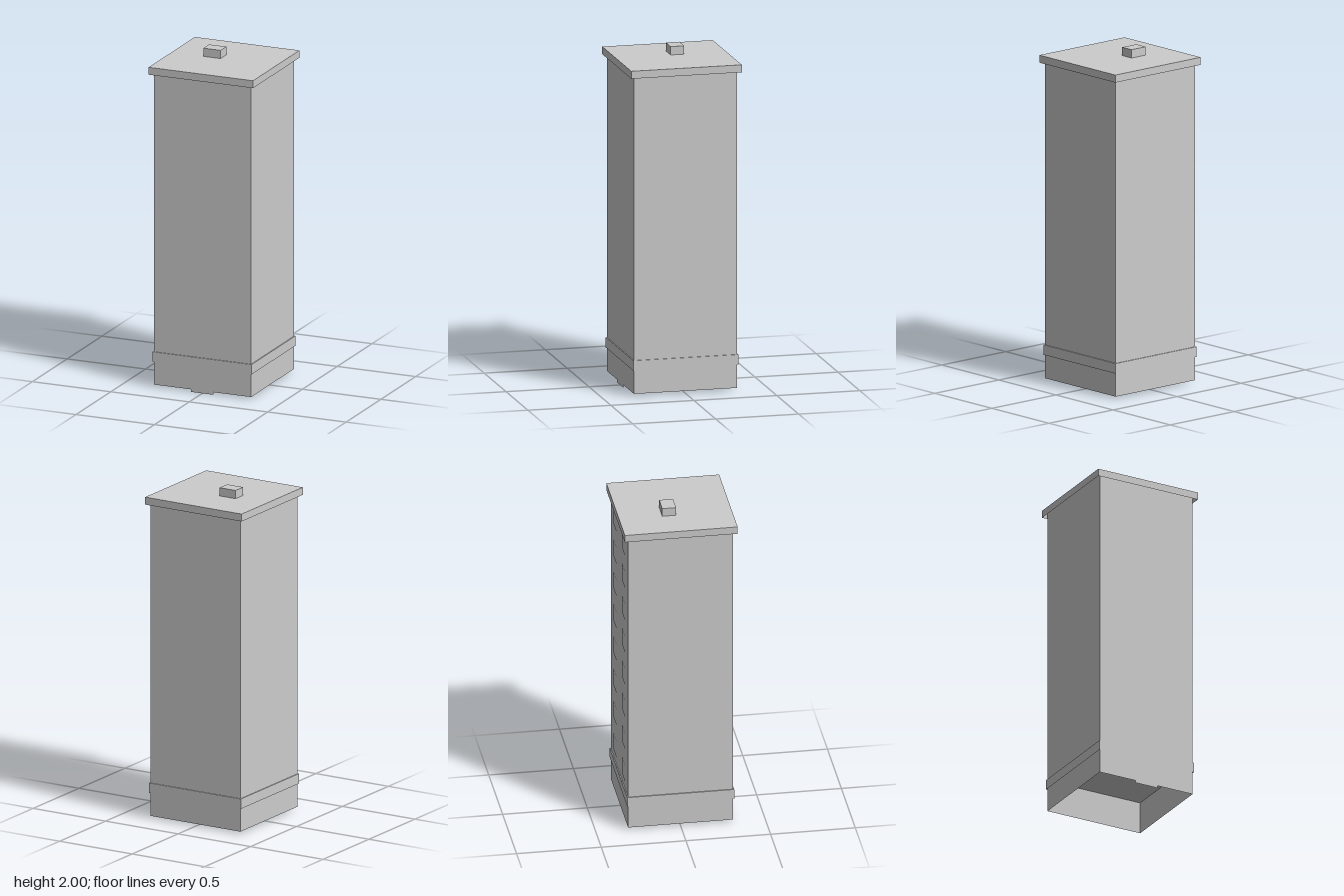
import * as THREE from 'three';

const concrete = new THREE.MeshStandardMaterial({ color: 0xcccccc, side: THREE.DoubleSide });
concrete.name = 'concrete grey';

// Box between two heights; openBottom / openTop leave out those faces
function block(name, w, d, y0, y1, { x = 0, z = 0, openBottom = false, openTop = false } = {}) {
  const geo = new THREE.BoxGeometry(w, y1 - y0, d);
  const index = Array.from(geo.index.array);
  if (openBottom) index.splice(18, 6);
  if (openTop) index.splice(12, 6);
  geo.setIndex(index);
  geo.clearGroups();
  const mesh = new THREE.Mesh(geo, concrete);
  mesh.name = name;
  mesh.position.set(x, (y0 + y1) / 2, z);
  return mesh;
}

export function createModel() {
  const tower = new THREE.Group();
  tower.name = 'towerBlock';
  const W = 0.62;

  // Ground floor, hollow from below, and the main shaft above it
  tower.add(block('groundFloor', W, W, 0.015, 0.21, { openBottom: true, openTop: true }));
  tower.add(block('shaft', W, W, 0.21, 1.94, { openTop: true }));

  // Thin ledge between ground floor and shaft
  tower.add(block('ledge', W + 0.012, W + 0.012, 0.155, 0.215, { openBottom: true }));

  // Overhanging roof, hollow underneath, with a small rooftop hut
  tower.add(block('roof', 0.666, 0.666, 1.905, 1.95, { openBottom: true }));
  tower.add(block('rooftopHut', 0.11, 0.082, 1.95, 2, { x: -0.075, z: -0.038, openBottom: true }));

  // Door panel on the front, reaching the ground
  const door = new THREE.Mesh(new THREE.PlaneGeometry(0.146, 0.13), concrete);
  door.name = 'door';
  door.position.set(0, 0.065, W / 2 + 0.002);
  tower.add(door);

  // Two columns of eight square windows on each side
  const pane = new THREE.PlaneGeometry(0.11, 0.11);
  for (let side = 0; side < 4; side++) {
    const facade = new THREE.Group();
    facade.name = 'windows' + ['Front', 'Left', 'Back', 'Right'][side];
    facade.rotation.y = side * Math.PI / 2;
    for (let row = 0; row < 8; row++) {
      for (const x of [-0.155, 0.155]) {
        const win = new THREE.Mesh(pane, concrete);
        win.name = 'window';
        win.position.set(x, 0.321 + row * 0.212, W / 2 + 0.002);
        facade.add(win);
      }
    }
    tower.add(facade);
  }
  return tower;
}
